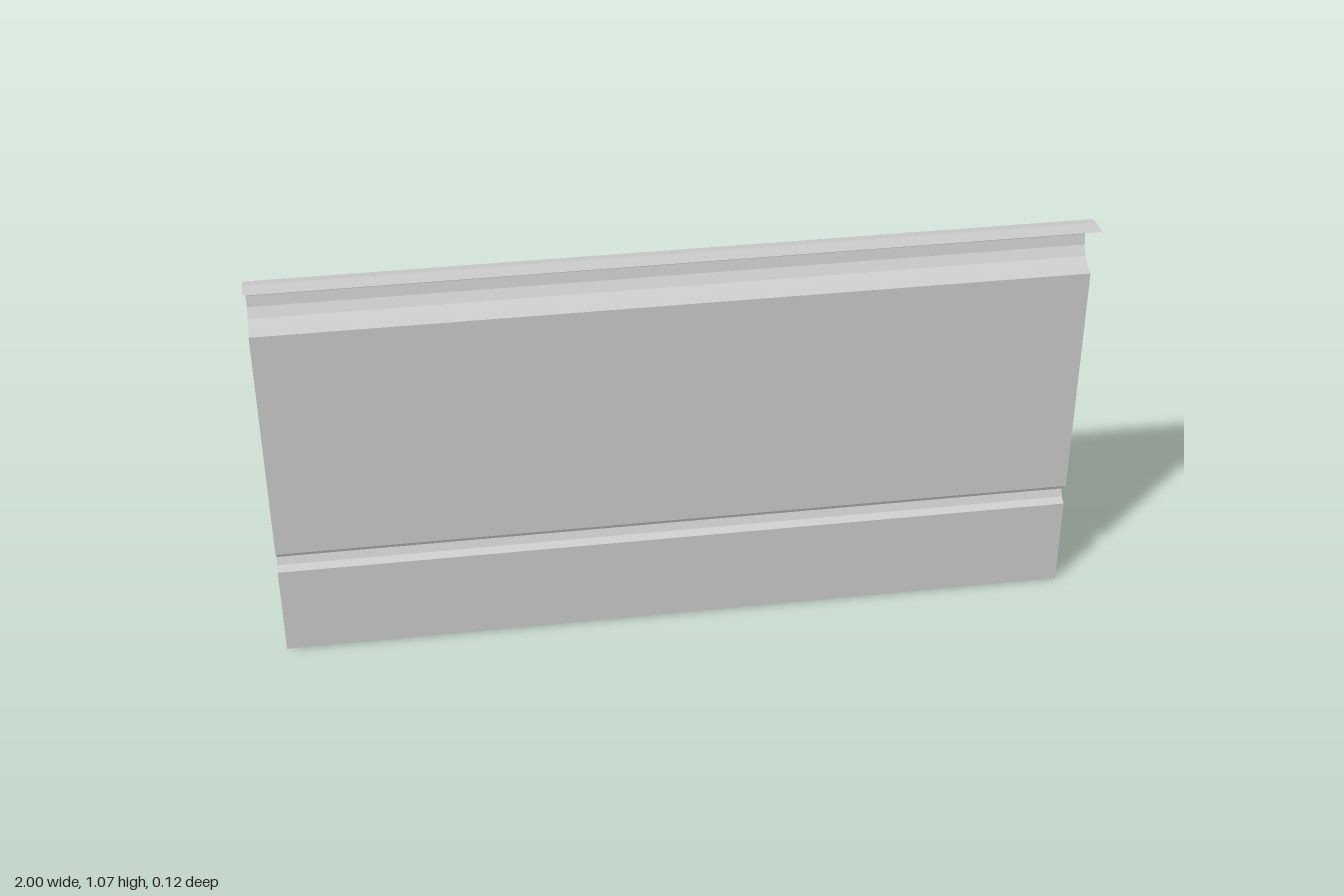
import * as THREE from 'three';

const HALF_WIDTH = 1;
const PANEL_Z = 0.0125;

const material = new THREE.MeshStandardMaterial({
  color: 0xcccccc, flatShading: true, side: THREE.DoubleSide,
});

// Sweeps a cross-section of [z, y] points along x as an open sheet
function sheet(name, profile) {
  const positions = [];
  const indices = [];
  for (const [z, y] of profile) positions.push(-HALF_WIDTH, y, z, HALF_WIDTH, y, z);
  for (let i = 0; i < profile.length - 1; i++) {
    const a = i * 2;
    indices.push(a, a + 1, a + 3, a, a + 3, a + 2);
  }
  const geometry = new THREE.BufferGeometry();
  geometry.setAttribute('position', new THREE.Float32BufferAttribute(positions, 3));
  geometry.setIndex(indices);
  geometry.computeVertexNormals();
  const mesh = new THREE.Mesh(geometry, material);
  mesh.name = name;
  return mesh;
}

// Half-circle bulging to the back, from bottom to top
function backArc(centreY, radius, segments) {
  return Array.from({ length: segments + 1 }, (_, i) => {
    const angle = (i / segments) * Math.PI;
    return [PANEL_Z - radius * Math.sin(angle), centreY - radius * Math.cos(angle)];
  });
}

export function createModel() {
  const group = new THREE.Group();
  group.name = 'profiledPanel';
  group.add(
    sheet('lowerPanel', [[PANEL_Z, 0], [PANEL_Z, 0.244]]),
    // small stiffening groove
    sheet('groove', backArc(0.272, 0.028, 4)),
    sheet('upperPanel', [[PANEL_Z, 0.3], [PANEL_Z, 0.93]]),
    // large rolled top and its forward lip
    sheet('rolledTop', backArc(1.0, 0.07, 8)),
    sheet('topLip', [[PANEL_Z, 1.07], [0.0575, 1.07]]),
  );
  return group;
}
